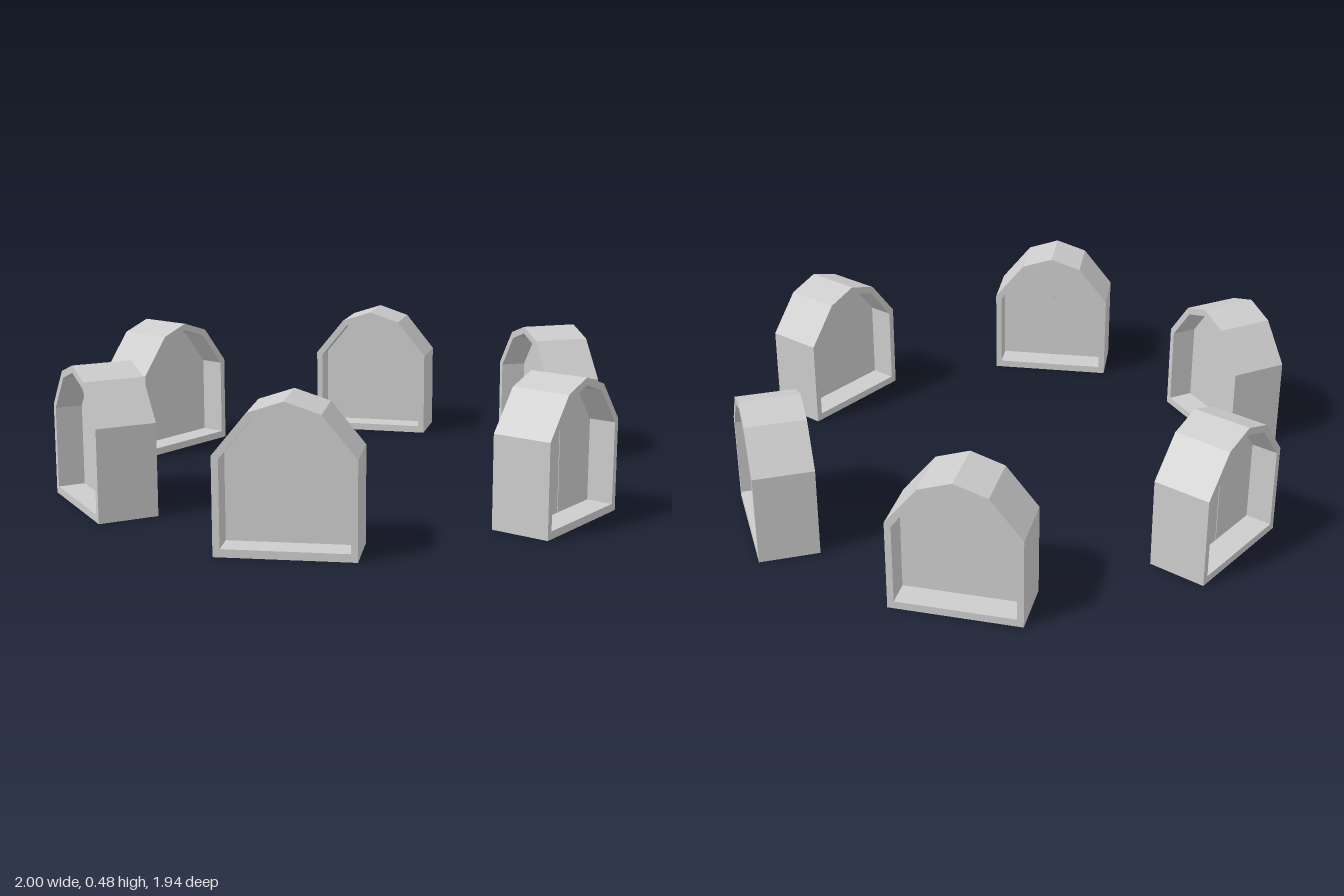
import * as THREE from 'three';

const DEPTH = 0.204;

// Gothic-like arch outline: straight walls, shoulders and a low peak
function archPoints(half, base, wall, shoulderX, shoulderY, peak) {
  return [
    [-half, base], [half, base], [half, wall], [shoulderX, shoulderY],
    [0, peak], [-shoulderX, shoulderY], [-half, wall],
  ].map(([x, y]) => new THREE.Vector2(x, y));
}

function extrude(shape, depth) {
  const geo = new THREE.ExtrudeGeometry(shape, { depth, bevelEnabled: false });
  return geo.translate(0, 0, -depth / 2);
}

export function createModel() {
  const model = new THREE.Group();
  model.name = 'archedWindowRing';
  const stone = new THREE.MeshStandardMaterial({ color: 0xcccccc });
  stone.name = 'pale grey';

  const outer = archPoints(0.22, 0, 0.313, 0.112, 0.446, 0.483);
  const inner = archPoints(0.198, 0.026, 0.303, 0.1, 0.424, 0.458);

  // Frame with an open arch, and the panel set halfway through it
  const frameShape = new THREE.Shape(outer);
  frameShape.holes.push(new THREE.Path(inner));
  const frameGeo = extrude(frameShape, DEPTH);
  const panelGeo = extrude(new THREE.Shape(inner), 0.02);
  const seamGeo = new THREE.BoxGeometry(0.006, 0.43, 0.003);

  // x, z, turn in degrees, side of the centre seam (1 outward, -1 inward, 0 none)
  const places = [
    [-0.03, 0.868, 0, 1],
    [0.789, 0.357, 54.8, 0],
    [0.738, -0.42, 114.6, 0],
    [-0.015, -0.872, 180, 1],
    [-0.78, -0.428, -115, 0],
    [-0.803, 0.392, -60, -1],
  ];

  for (const [x, z, turn, seamSide] of places) {
    const unit = new THREE.Group();
    unit.name = 'archedWindow';
    const add = (name, geo) => {
      const mesh = new THREE.Mesh(geo, stone);
      mesh.name = name;
      unit.add(mesh);
      return mesh;
    };
    add('frame', frameGeo);
    add('panel', panelGeo);
    if (seamSide) add('centreSeam', seamGeo).position.set(0, 0.241, seamSide * 0.0105);
    unit.position.set(x, 0, z);
    unit.rotation.y = THREE.MathUtils.degToRad(turn);
    model.add(unit);
  }
  return model;
}
